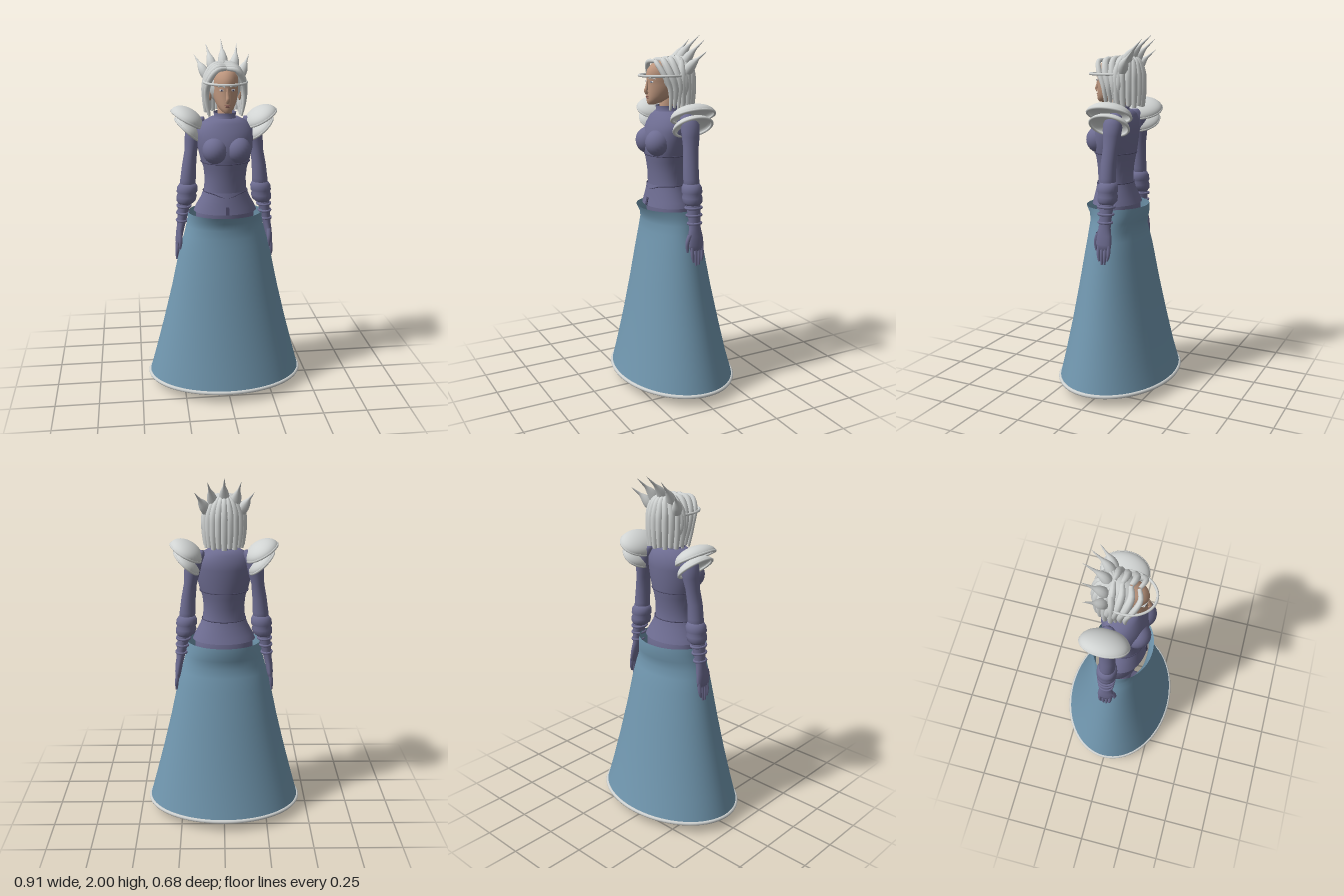
import * as THREE from 'three';
import { mergeVertices } from 'three/addons/utils/BufferGeometryUtils.js';

const mat = (name, color, side = THREE.FrontSide) =>
  Object.assign(new THREE.MeshStandardMaterial({ color, side }), { name });
const M = {
  skirt: mat('blue skirt', 0x7096ae, THREE.DoubleSide),
  cloth: mat('violet cloth', 0x6e6d92, THREE.DoubleSide),
  seam: mat('dark violet seam', 0x4a4866),
  silver: mat('silver white', 0xd0d3d2, THREE.DoubleSide),
  skin: mat('skin', 0xbd967e),
  lips: mat('lips', 0x93665c),
  eyes: mat('eye white', 0xd9dad8),
};
const V = (x, y, z) => new THREE.Vector3(x, y, z);

export function createModel() {
  const model = new THREE.Group();
  model.name = 'gownedQueen';
  const add = (name, geo, material, parent = model) => {
    const m = new THREE.Mesh(geo, material);
    m.name = name;
    parent.add(m);
    return m;
  };

  // Oval sections, bottom to top: [y, half width, front z, back z, centre x]
  const loft = (rows, caps = true, n = 40) => {
    const pos = [], idx = [];
    for (const [y, rx, zf, zb, cx = 0] of rows)
      for (let j = 0; j < n; j++) {
        const a = (j / n) * Math.PI * 2;
        pos.push(cx + rx * Math.sin(a), y, (zf + zb) / 2 + ((zf - zb) / 2) * Math.cos(a));
      }
    for (let i = 0; i < rows.length - 1; i++)
      for (let j = 0; j < n; j++) {
        const a = i * n + j, b = i * n + ((j + 1) % n);
        idx.push(a, b, b + n, a, b + n, a + n);
      }
    if (caps) {
      const lo = rows[0], hi = rows[rows.length - 1], top = (rows.length - 1) * n, c = rows.length * n;
      for (const [y, , zf, zb, cx = 0] of [lo, hi]) pos.push(cx, y, (zf + zb) / 2);
      for (let j = 0; j < n; j++) {
        const k = (j + 1) % n;
        idx.push(c, k, j, c + 1, top + j, top + k);
      }
    }
    const g = new THREE.BufferGeometry();
    g.setAttribute('position', new THREE.Float32BufferAttribute(pos, 3));
    g.setIndex(idx);
    g.computeVertexNormals();
    return g;
  };

  // Tube along points whose radius follows a rule
  const taper = (points, radius, n = 14, sides = 8) => {
    const curve = new THREE.CatmullRomCurve3(points);
    let g = new THREE.TubeGeometry(curve, n, 1, sides);
    const p = g.attributes.position, v = V();
    for (let i = 0; i < p.count; i++) {
      const t = Math.floor(i / (sides + 1)) / n, c = curve.getPointAt(t);
      v.fromBufferAttribute(p, i).sub(c).multiplyScalar(radius(t)).add(c);
      p.setXYZ(i, v.x, v.y, v.z);
    }
    g.deleteAttribute('uv');
    g.deleteAttribute('normal');
    g = mergeVertices(g, 1e-6);
    g.computeVertexNormals();
    return g;
  };

  // Oval hoop; dip lowers its front
  const hoop = (rx, rz, y, cz, r, cx = 0, dip = 0) => {
    const pts = Array.from({ length: 48 }, (_, i) => {
      const a = (i / 48) * Math.PI * 2, c = Math.cos(a);
      return V(cx + rx * Math.sin(a), y - dip * Math.max(0, c) ** 8, cz + rz * c);
    });
    return new THREE.TubeGeometry(new THREE.CatmullRomCurve3(pts, true), 72, r, 8, true);
  };
  const ball = (name, material, c, s, parent = model) => {
    const m = add(name, new THREE.SphereGeometry(1, 24, 16), material, parent);
    m.position.set(...c);
    m.scale.set(...s);
    return m;
  };

  // Skirt and hem
  add('skirt', loft([
    [0.06, 0.448, 0.33, -0.33], [0.2, 0.41, 0.297, -0.29], [0.4, 0.358, 0.256, -0.245],
    [0.6, 0.31, 0.22, -0.203], [0.8, 0.268, 0.186, -0.165], [0.88, 0.248, 0.172, -0.146],
    [0.93, 0.233, 0.165, -0.133], [0.98, 0.22, 0.16, -0.143], [1.02, 0.213, 0.168, -0.152],
    [1.06, 0.21, 0.19, -0.152],
  ], false, 64), M.skirt);
  add('hem', hoop(0.446, 0.328, 0.062, 0, 0.011), M.silver);

  // Bodice, peplum and collar
  add('bodice', loft([
    [0.85, 0.16, 0.11, -0.1], [1.05, 0.165, 0.13, -0.1], [1.12, 0.14, 0.13, -0.075],
    [1.19, 0.12, 0.128, -0.062], [1.26, 0.115, 0.132, -0.065], [1.32, 0.122, 0.14, -0.075],
    [1.37, 0.138, 0.15, -0.084], [1.43, 0.152, 0.157, -0.09], [1.49, 0.156, 0.145, -0.095],
    [1.53, 0.155, 0.128, -0.093], [1.57, 0.125, 0.108, -0.08], [1.595, 0.08, 0.088, -0.06],
  ]), M.cloth);
  add('peplum', loft([
    [1.07, 0.178, 0.155, -0.108], [1.1, 0.165, 0.148, -0.095],
    [1.15, 0.137, 0.139, -0.075], [1.19, 0.122, 0.133, -0.065],
  ], false), M.cloth);
  add('collar', loft([
    [1.57, 0.085, 0.1, -0.065], [1.6, 0.058, 0.085, -0.045], [1.625, 0.063, 0.086, -0.05],
  ], false), M.cloth);
  add('waistSeam', hoop(0.124, 0.1, 1.187, 0.034, 0.003, 0, 0.025), M.seam);
  add('corsetSeam', hoop(0.136, 0.114, 1.355, 0.033, 0.003), M.seam);
  const notch = add('peplumNotch', new THREE.BoxGeometry(0.018, 0.045, 0.006), M.seam);
  notch.position.set(0, 1.092, 0.151);
  notch.rotation.x = -0.25;

  // Foot outline seen from the side
  const foot = new THREE.Shape();
  foot.moveTo(-0.085, 0.012);
  foot.lineTo(-0.02, 0.012);
  foot.lineTo(-0.01, 0.04);
  foot.lineTo(0.05, 0.012);
  foot.lineTo(0.16, 0.012);
  foot.quadraticCurveTo(0.195, 0.022, 0.165, 0.045);
  foot.quadraticCurveTo(0.06, 0.07, 0.01, 0.13);
  foot.lineTo(-0.08, 0.13);
  foot.closePath();

  for (const s of [1, -1]) {
    const side = new THREE.Group();
    side.name = s > 0 ? 'leftSide' : 'rightSide';
    model.add(side);

    ball('bust', M.cloth, [s * 0.062, 1.428, 0.108], [0.072, 0.075, 0.073], side);

    // Sleeve, cuff, wrist bands and glove
    const row = ([y, cx, rx, zf, zb]) => [y, rx, zf, zb, s * cx];
    add('sleeve', loft([
      [1.17, 0.21, 0.045, 0.025, -0.065], [1.24, 0.205, 0.044, 0.025, -0.062],
      [1.32, 0.198, 0.04, 0.025, -0.062], [1.4, 0.187, 0.036, 0.018, -0.068],
      [1.47, 0.176, 0.044, 0.02, -0.08], [1.53, 0.165, 0.05, 0.025, -0.085],
      [1.57, 0.145, 0.04, 0.015, -0.07], [1.59, 0.125, 0.015, -0.01, -0.045],
    ].map(row), true, 24), M.cloth, side);
    add('cuff', loft([
      [1.1, 0.222, 0.04, 0.022, -0.062], [1.115, 0.218, 0.054, 0.034, -0.075],
      [1.14, 0.214, 0.058, 0.036, -0.077], [1.158, 0.213, 0.052, 0.031, -0.071],
      [1.168, 0.212, 0.059, 0.037, -0.077], [1.195, 0.209, 0.058, 0.035, -0.075],
      [1.22, 0.206, 0.043, 0.023, -0.062],
    ].map(row), true, 24), M.cloth, side);
    add('glove', loft([
      [0.85, 0.266, 0.013, 0.018, -0.062], [0.88, 0.264, 0.018, 0.026, -0.066],
      [0.93, 0.257, 0.021, 0.026, -0.062], [0.97, 0.249, 0.023, 0.016, -0.054],
      [1.02, 0.241, 0.028, 0.015, -0.055], [1.08, 0.231, 0.034, 0.019, -0.06],
      [1.14, 0.22, 0.036, 0.02, -0.06],
    ].map(row), true, 20), M.cloth, side);
    [[1.0, 0.243, 0.029], [1.045, 0.236, 0.033], [1.085, 0.23, 0.037]].forEach(([y, cx, r]) =>
      add('wristBand', hoop(r, r + 0.009, y, -0.02, 0.007, s * cx), M.cloth, side));
    for (let f = 0; f < 4; f++) {
      const z = 0.008 - f * 0.02, tip = [0.785, 0.765, 0.768, 0.79][f];
      add('finger', taper([V(s * 0.265, 0.875, z), V(s * 0.273, 0.82, z), V(s * 0.276, tip, z * 0.8 - 0.004)],
        t => 0.0115 - 0.006 * t ** 3, 8), M.cloth, side);
    }
    add('thumb', taper([V(s * 0.258, 0.94, 0.015), V(s * 0.256, 0.89, 0.032), V(s * 0.256, 0.84, 0.03)],
      t => 0.014 - 0.008 * t ** 2, 8), M.cloth, side);

    // Two overlapping shoulder shells
    [[0.208, 1.58, 0.098, 0.062, 0.13, 0.52], [0.207, 1.522, 0.09, 0.05, 0.117, 0.74]]
      .forEach(([x, y, rx, h, rz, tilt], i) => {
        const shell = new THREE.Group();
        shell.name = i ? 'lowerShoulderShell' : 'upperShoulderShell';
        shell.position.set(s * x, y, -0.027);
        shell.rotation.z = s * tilt;
        side.add(shell);
        add('shellDome', new THREE.SphereGeometry(1, 36, 14, 0, Math.PI * 2, 0, Math.PI / 2), M.silver, shell)
          .scale.set(rx, h, rz);
        add('shellInside', new THREE.SphereGeometry(1, 36, 10, 0, Math.PI * 2, 0, Math.PI / 2), M.silver, shell)
          .scale.set(rx * 0.93, h * 0.75, rz * 0.93);
        add('shellRim', hoop(rx * 0.965, rz * 0.965, 0, 0, 0.007), M.silver, shell);
      });

    // Leg and boot
    add('leg', loft([
      [0.1, 0.042, 0.015, -0.085, s * 0.13], [0.2, 0.041, 0.005, -0.08, s * 0.127],
      [0.33, 0.055, 0.02, -0.095, s * 0.12], [0.5, 0.052, 0.045, -0.06, s * 0.11],
      [0.7, 0.07, 0.08, -0.07, s * 0.1], [0.9, 0.082, 0.095, -0.08, s * 0.085],
    ], true, 24), M.cloth, side);
    const boot = new THREE.ExtrudeGeometry(foot, {
      depth: 0.07, bevelSize: 0.012, bevelThickness: 0.014, bevelSegments: 3, curveSegments: 8,
    });
    boot.translate(0, 0, -0.035).rotateY(-Math.PI / 2);
    add('boot', boot, M.cloth, side).position.x = s * 0.13;

    // Facial features
    ball('eye', M.eyes, [s * 0.03, 1.757, 0.132], [0.013, 0.006, 0.004], side).rotation.y = s * 0.35;
    ball('iris', M.seam, [s * 0.03, 1.757, 0.1355], [0.005, 0.005, 0.002], side);
    ball('ear', M.skin, [s * 0.083, 1.72, 0.018], [0.012, 0.034, 0.018], side);
    add('eyebrow', taper([V(s * 0.014, 1.774, 0.142), V(s * 0.032, 1.779, 0.135), V(s * 0.048, 1.773, 0.119)],
      () => 0.003, 8, 6), M.silver, side);

    // Hair swept from the parting down past the temples
    for (let k = 0; k < 4; k++) {
      const z = 0.095 - k * 0.042;
      add('sideLock', taper([
        V(s * 0.002, 1.865 + 0.006 * k, z), V(s * 0.05, 1.86 + 0.004 * k, z + 0.018 - k * 0.004),
        V(s * 0.09, 1.805, z * 0.95 + 0.002), V(s * 0.104, 1.73, z * 0.75 - 0.012),
        V(s * (0.1 - 0.004 * k), 1.665, z * 0.65 - 0.012), V(s * 0.088, 1.605 + 0.012 * (k % 2), z * 0.6 - 0.008),
      ], t => 0.005 + (k ? 0.017 : 0.011) * Math.sin(Math.PI * (0.15 + 0.8 * t)), 20), M.silver, side);
    }
  }

  // Head
  add('neck', loft([[1.54, 0.046, 0.07, -0.035], [1.6, 0.04, 0.065, -0.03], [1.68, 0.042, 0.07, -0.035]]), M.skin);
  add('head', loft([
    [1.634, 0.014, 0.135, 0.095], [1.643, 0.028, 0.144, 0.06], [1.66, 0.043, 0.146, 0.02],
    [1.68, 0.055, 0.146, -0.03], [1.71, 0.065, 0.144, -0.06], [1.74, 0.069, 0.142, -0.08],
    [1.76, 0.07, 0.143, -0.09], [1.79, 0.072, 0.146, -0.095], [1.82, 0.07, 0.14, -0.095],
    [1.85, 0.055, 0.115, -0.075], [1.87, 0.025, 0.06, -0.03],
  ]), M.skin);
  add('nose', taper([V(0, 1.768, 0.141), V(0, 1.73, 0.147), V(0, 1.704, 0.153), V(0, 1.697, 0.143)],
    t => 0.006 + 0.006 * t, 10), M.skin);
  ball('upperLip', M.lips, [0, 1.678, 0.1445], [0.016, 0.004, 0.006]);
  ball('lowerLip', M.lips, [0, 1.67, 0.144], [0.013, 0.0045, 0.006]);

  // Hair cap and back locks
  ball('hairCap', M.silver, [0, 1.775, -0.015], [0.098, 0.112, 0.122]);
  for (let k = -5; k <= 5; k++) {
    const a = k * 0.3, x = Math.sin(a), c = Math.cos(a);
    add('backLock', taper([
      V(0.015 * x, 1.882, -0.03), V(0.06 * x, 1.868, -0.025 - 0.065 * c), V(0.096 * x, 1.81, -0.012 - 0.105 * c),
      V(0.104 * x, 1.72, -0.012 - 0.112 * c), V(0.099 * x, 1.612 + 0.008 * (k & 1), -0.018 - 0.104 * c),
    ], t => 0.007 + 0.014 * Math.sin(Math.PI * (0.1 + 0.75 * t)), 18), M.silver);
  }

  // Crown: circlet and five swept-back spikes [base x, base y, tip x, tip y, tip z]
  add('circlet', hoop(0.116, 0.145, 1.79, 0.038, 0.007), M.silver);
  [[0, 1.86, 0, 2, -0.18], [0.055, 1.85, 0.087, 1.978, -0.163], [-0.055, 1.85, -0.087, 1.978, -0.163],
    [0.095, 1.825, 0.155, 1.92, -0.14], [-0.095, 1.825, -0.155, 1.92, -0.14]].forEach(([bx, by, tx, ty, tz]) =>
    add('crownSpike', taper([
      V(bx * 0.9, by - 0.03, -0.045), V(bx + (tx - bx) * 0.35, by + (ty - by) * 0.3, -0.075), V(tx, ty, tz),
    ], t => 0.022 + 0.012 * Math.sin(Math.PI * Math.min(1, t * 1.6)) - 0.0215 * t, 14, 10), M.silver));

  return model;
}
